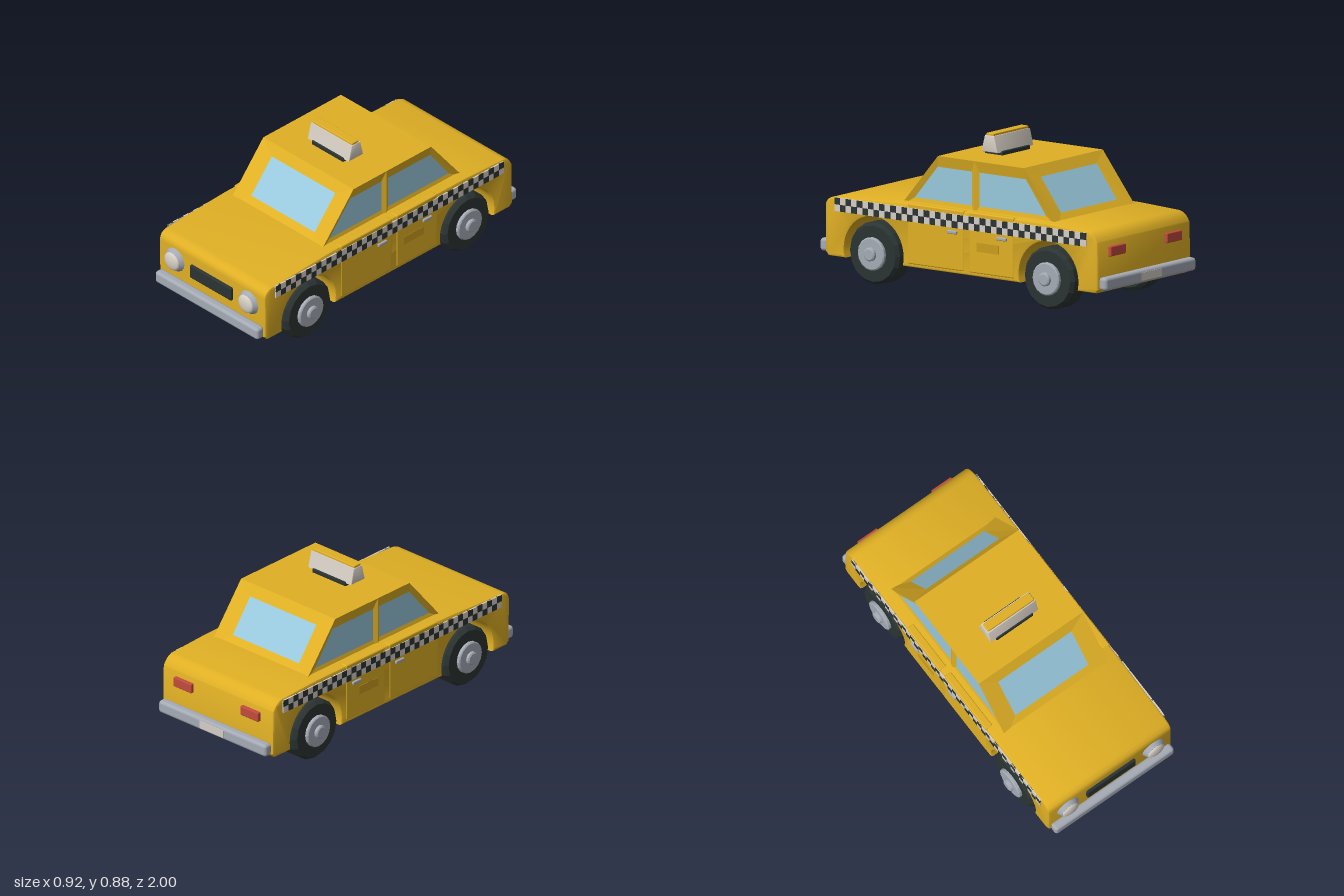
import * as THREE from 'three';
import { mergeGeometries, toCreasedNormals } from 'three/addons/utils/BufferGeometryUtils.js';
import { RoundedBoxGeometry } from 'three/addons/geometries/RoundedBoxGeometry.js';

const mat = (name, color) => new THREE.MeshStandardMaterial({ name, color });

export function createModel() {
  const yellow = mat('yellow paint', 0xe0b024);
  const amber = mat('faded paint', 0xcb9d1e);
  const glass = mat('window glass', 0x98c8dc);
  const dark = mat('black rubber', 0x2b3433);
  const chrome = mat('grey metal', 0xa5abb5);
  const cream = mat('off-white', 0xd6cec4);
  const red = mat('red lens', 0xc24a3c);

  const car = new THREE.Group();
  car.name = 'taxi';
  const add = (name, geo, material, x = 0, y = 0, z = 0, parent = car) => {
    const m = new THREE.Mesh(geo, material);
    m.name = name;
    m.position.set(x, y, z);
    parent.add(m);
    return m;
  };
  const box = (w, h, d) => new THREE.BoxGeometry(w, h, d);
  const rbox = (w, h, d, r) => new RoundedBoxGeometry(w, h, d, 2, r);

  // Extrude a (z, y) side profile across x, with bevelled edges
  const sideExtrude = (shape, width, bevel) => {
    const geo = new THREE.ExtrudeGeometry(shape, {
      depth: width - 2 * bevel, bevelEnabled: true, bevelThickness: bevel,
      bevelSize: bevel, bevelOffset: -bevel, bevelSegments: 2, curveSegments: 16,
    });
    geo.translate(0, 0, -width / 2 + bevel);
    geo.rotateY(-Math.PI / 2);
    return toCreasedNormals(geo, 0.6);
  };

  // Lower body with wheel arches cut right through
  const axleZ = [0.615, -0.602], axleY = 0.175, floorY = 0.128, archR = 0.205;
  const half = Math.sqrt(archR ** 2 - (axleY - floorY) ** 2);
  const dip = Math.asin((axleY - floorY) / archR);
  const body = new THREE.Shape();
  body.moveTo(0.93, floorY);
  body.lineTo(0.95, 0.15);
  body.lineTo(0.952, 0.405);
  body.quadraticCurveTo(0.95, 0.455, 0.89, 0.46);
  body.lineTo(0.45, 0.482);
  body.lineTo(-0.6, 0.482);
  body.lineTo(-0.87, 0.47);
  body.quadraticCurveTo(-0.92, 0.465, -0.945, 0.41);
  body.lineTo(-0.95, 0.15);
  body.lineTo(-0.93, floorY);
  for (const z of [axleZ[1], axleZ[0]]) {
    body.lineTo(z - half, floorY);
    body.absarc(z, axleY, archR, Math.PI + dip, -dip, true);
  }
  body.closePath();
  add('body', sideExtrude(body, 0.836, 0.014), yellow);

  // Cabin: sloping faces, each with a slightly recessed window
  const W = 0.355, yB = 0.45, yT = 0.758;
  const zF = [0.475, 0.213], zR = [-0.625, -0.383];
  const quads = (list) => {
    const pos = [];
    for (const [a, b, c, d] of list) pos.push(...a, ...b, ...c, ...a, ...c, ...d);
    const geo = new THREE.BufferGeometry();
    geo.setAttribute('position', new THREE.Float32BufferAttribute(pos, 3));
    geo.computeVertexNormals();
    return geo;
  };
  const shell = [], panes = [];
  const framed = (outer, inner) => {
    for (let i = 0; i < 4; i++) {
      const j = (i + 1) % 4;
      shell.push([outer[i], outer[j], inner[j], inner[i]]);
    }
    panes.push(inner);
  };
  framed(
    [[-W, yB, zF[0]], [W, yB, zF[0]], [W, yT, zF[1]], [-W, yT, zF[1]]],
    [[-0.25, 0.514, 0.408], [0.25, 0.514, 0.408], [0.25, 0.7, 0.25], [-0.25, 0.7, 0.25]]);
  framed(
    [[W, yB, zR[0]], [-W, yB, zR[0]], [-W, yT, zR[1]], [W, yT, zR[1]]],
    [[0.25, 0.514, -0.562], [-0.25, 0.514, -0.562], [-0.25, 0.7, -0.422], [0.25, 0.7, -0.422]]);
  for (const s of [1, -1]) {
    // four [z, y] corners, reversed on the right side so they face outward
    const face = (x, pts) => {
      const q = pts.map(([z, y]) => [s * x, y, z]);
      return s > 0 ? q : q.reverse();
    };
    const mid = -0.04, G = W - 0.014;
    framed(face(W, [[zF[0], yB], [mid, yB], [mid, yT], [zF[1], yT]]),
      face(G, [[0.385, 0.505], [-0.015, 0.505], [-0.015, 0.695], [0.225, 0.695]]));
    framed(face(W, [[mid, yB], [zR[0], yB], [zR[1], yT], [mid, yT]]),
      face(G, [[-0.065, 0.505], [-0.53, 0.505], [-0.388, 0.695], [-0.065, 0.695]]));
  }
  shell.push([[-W, yT, zF[1]], [W, yT, zF[1]], [W, yT, zR[1]], [-W, yT, zR[1]]]);
  add('cabin', quads(shell), yellow);
  add('windows', quads(panes), glass);

  // Doors, handles and checkered stripe on each side
  const cols = 45, cell = 1.75 / cols, rowH = 0.038;
  const checks = [];
  for (let i = 0; i < cols; i++) {
    const sq = box(0.009, rowH, cell);
    sq.translate(0, i % 2 ? -rowH / 2 : rowH / 2, 0.875 - (i + 0.5) * cell);
    checks.push(sq);
  }
  const checkGeo = mergeGeometries(checks);
  for (const s of [1, -1]) {
    const side = new THREE.Group();
    side.name = s > 0 ? 'leftSide' : 'rightSide';
    car.add(side);
    add('frontDoor', rbox(0.046, 0.338, 0.39, 0.008), yellow, s * 0.399, 0.316, 0.178, side);
    add('rearDoor', rbox(0.046, 0.338, 0.31, 0.008), yellow, s * 0.399, 0.316, -0.21, side);
    add('doorPatch', box(0.004, 0.05, 0.15), amber, s * 0.4215, 0.295, -0.185, side);
    for (const z of [0.06, -0.285])
      add('doorHandle', rbox(0.02, 0.02, 0.068, 0.006), chrome, s * 0.423, 0.36, z, side);
    add('stripeBase', box(0.009, 2 * rowH, 1.75), cream, s * 0.4215, 0.423, 0.003, side);
    add('stripeChecks', checkGeo, dark, s * 0.4225, 0.423, 0.003, side);
  }

  // Wheels: chamfered tyre, hub disc and cap, turned about the x axis
  const lathe = (pts) => {
    const geo = new THREE.LatheGeometry(pts.map(([r, h]) => new THREE.Vector2(r, h)), 16);
    geo.rotateZ(-Math.PI / 2);
    return toCreasedNormals(geo, 0.3);
  };
  const tyreGeo = lathe([[0, 0.285], [0.155, 0.285], [0.175, 0.3], [0.175, 0.4], [0.158, 0.421], [0, 0.421]]);
  const hubGeo = lathe([[0.093, 0.41], [0.093, 0.436], [0.086, 0.441], [0, 0.441]]);
  const capGeo = lathe([[0.04, 0.435], [0.038, 0.455], [0.03, 0.46], [0, 0.46]]);
  for (const z of axleZ) for (const s of [1, -1]) {
    const wheel = new THREE.Group();
    wheel.name = 'wheel';
    wheel.position.set(0, axleY, z);
    if (s < 0) wheel.rotation.y = Math.PI;
    car.add(wheel);
    add('tyre', tyreGeo, dark, 0, 0, 0, wheel);
    add('hub', hubGeo, chrome, 0, 0, 0, wheel);
    add('hubCap', capGeo, chrome, 0, 0, 0, wheel);
  }

  // Bumpers, grille and lamps
  add('frontBumper', rbox(0.81, 0.073, 0.056, 0.018), chrome, 0, 0.182, 0.972);
  add('rearBumper', rbox(0.81, 0.073, 0.056, 0.018), chrome, 0, 0.182, -0.97);
  add('numberPlate', box(0.18, 0.045, 0.006), cream, 0, 0.182, -0.997);
  add('grille', rbox(0.328, 0.082, 0.03, 0.008), dark, 0, 0.319, 0.953);
  const ringGeo = new THREE.CylinderGeometry(0.058, 0.075, 0.03, 16).rotateX(Math.PI / 2);
  const lampGeo = new THREE.SphereGeometry(0.056, 20, 8, 0, Math.PI * 2, 0, Math.PI / 2)
    .scale(1, 0.35, 1).rotateX(Math.PI / 2);
  for (const s of [1, -1]) {
    add('headlightRing', ringGeo, chrome, s * 0.291, 0.328, 0.962);
    add('headlight', lampGeo, cream, s * 0.291, 0.328, 0.9765);
    add('tailLight', rbox(0.136, 0.056, 0.03, 0.006), red, s * 0.252, 0.352, -0.951);
  }

  // Roof sign
  const sign = new THREE.Shape();
  sign.moveTo(0.056, 0.774);
  sign.lineTo(0.033, 0.867);
  sign.lineTo(-0.033, 0.867);
  sign.lineTo(-0.056, 0.774);
  sign.closePath();
  add('signBase', rbox(0.25, 0.03, 0.126, 0.006), dark, 0, 0.766, 0.005);
  add('signBody', sideExtrude(sign, 0.326, 0.006), cream, 0, 0, 0.005);
  add('signTop', rbox(0.316, 0.02, 0.052, 0.005), yellow, 0, 0.87, 0.005);

  return car;
}
